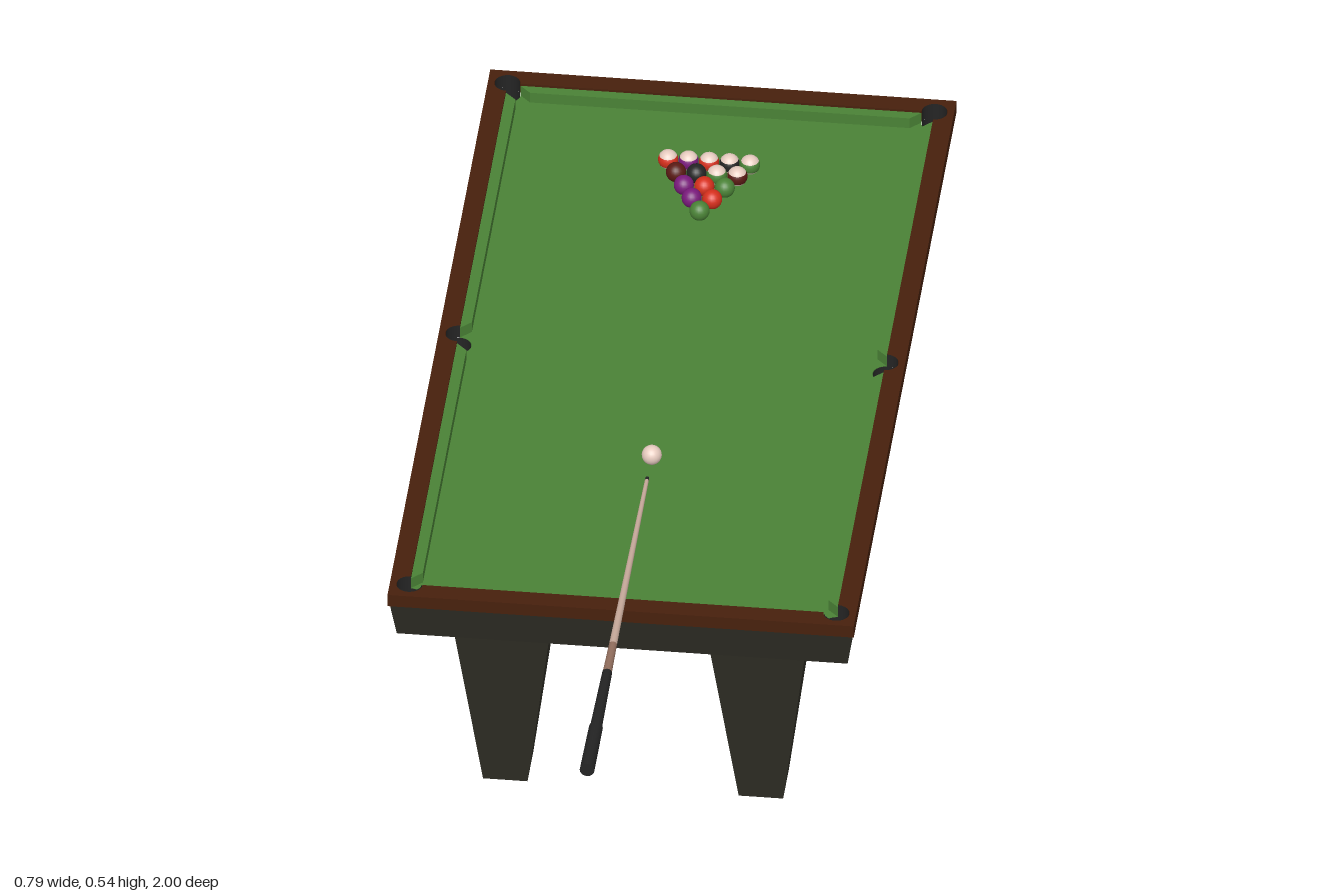
import * as THREE from 'three';

const mat = (name, color, side = THREE.FrontSide) => {
  const m = new THREE.MeshStandardMaterial({ color, side });
  m.name = name;
  return m;
};

export function createModel() {
  const M = {
    wood: mat('rail wood', 0x47200c),
    base: mat('dark base', 0x2f2e25),
    felt: mat('green felt', 0x4a8236),
    black: mat('black', 0x242424, THREE.DoubleSide),
    shaft: mat('cue maple', 0xc9ab9c),
    splice: mat('cue splice', 0x94705f),
    ivory: mat('ivory', 0xecd0c4),
    purple: mat('purple', 0x7a1a7c),
    red: mat('red', 0xd62f1c),
    maroon: mat('maroon', 0x5a1a14),
  };
  const model = new THREE.Group();
  model.name = 'billiardTable';
  const table = new THREE.Group();
  table.name = 'table';
  table.position.z = -0.2465;
  model.add(table);

  const add = (parent, name, geo, material, x = 0, y = 0, z = 0) => {
    const mesh = new THREE.Mesh(geo, material);
    mesh.name = name;
    mesh.position.set(x, y, z);
    parent.add(mesh);
    return mesh;
  };

  // Box whose lower end is narrower, standing on y = 0
  const frustum = (topW, topD, botW, botD, h) => {
    const g = new THREE.BoxGeometry(topW, h, topD);
    const p = g.attributes.position;
    for (let i = 0; i < p.count; i++) {
      if (p.getY(i) < 0) {
        p.setX(i, Math.sign(p.getX(i)) * botW / 2);
        p.setZ(i, Math.sign(p.getZ(i)) * botD / 2);
      }
    }
    g.translate(0, h / 2, 0);
    g.computeVertexNormals();
    return g;
  };

  // Horizontal slab hanging down from its outline in x and z
  const slab = (shape, depth) =>
    new THREE.ExtrudeGeometry(shape, { depth, bevelEnabled: false, curveSegments: 12 }).rotateX(Math.PI / 2);

  // Pockets: x, z and the arc that bites into the rail
  const X = 0.36, Z = 0.7185, R = 0.022, P = Math.PI;
  const pockets = [
    [X, 0, -P / 2, P / 2], [X, Z, -P / 2, P], [-X, Z, 0, 1.5 * P],
    [-X, 0, P / 2, 1.5 * P], [-X, -Z, P / 2, 2 * P], [X, -Z, P, 2.5 * P],
  ];
  const outline = (path, clockwise) => {
    pockets.forEach(([x, z, s, e]) => path.absarc(x, z, R, s, e, clockwise));
    path.closePath();
    return path;
  };

  // Rail frame and playing bed
  const W = 0.393, D = 0.7535;
  const frame = new THREE.Shape([[-W, -D], [W, -D], [W, D], [-W, D]].map(p => new THREE.Vector2(...p)));
  frame.holes.push(outline(new THREE.Path(), false));
  add(table, 'railFrame', slab(frame, 0.023), M.wood, 0, 0.5);
  add(table, 'playingBed', slab(outline(new THREE.Shape(), true), 0.01), M.felt, 0, 0.476);

  // Pocket liners: full well below the bed, part wall along the rail
  pockets.forEach(([x, z, s, e]) => {
    const pocket = new THREE.Group();
    pocket.name = 'pocket';
    pocket.position.set(x, 0, z);
    table.add(pocket);
    const r = R - 0.0008;
    add(pocket, 'pocketWell', new THREE.CylinderGeometry(r, r, 0.03, 20, 1, true), M.black, 0, 0.461);
    add(pocket, 'pocketFloor', new THREE.CircleGeometry(r, 20).rotateX(-P / 2), M.black, 0, 0.446);
    add(pocket, 'pocketLiner',
      new THREE.CylinderGeometry(r, r, 0.025, 16, 1, true, P / 2 - e, e - s), M.black, 0, 0.4885);
  });

  // Cushions: plan trapezoid with slanted ends, nose towards the field
  const cushion = (length, name, x, z, angle) => {
    const h = length / 2, w = 0.018;
    const s = new THREE.Shape([[-h, 0], [h, 0], [h - w, w], [w - h, w]].map(p => new THREE.Vector2(...p)));
    add(table, name, slab(s, 0.02), M.felt, x, 0.496, z).rotation.y = angle;
  };
  const sideLength = Z - 2 * R;
  for (const s of [-1, 1]) {
    cushion(2 * (X - R), 'endCushion', 0, s * Z, s > 0 ? P : 0);
    for (const t of [-1, 1]) cushion(sideLength, 'sideCushion', s * X, t * Z / 2, -s * P / 2);
  }

  // Apron, open at the top under the bed
  const apron = frustum(0.78, 1.496, 0.76, 1.46, 0.072);
  apron.setIndex([...apron.index.array].filter((v, i) => i < 12 || i >= 18));
  apron.clearGroups();
  add(table, 'apron', apron, M.base, 0, 0.405);

  // Four tapered legs
  for (const x of [-0.2155, 0.2155])
    for (const z of [-0.517, 0.528])
      add(table, 'leg', frustum(0.178, 0.215, 0.075, 0.085, 0.406), M.base, x, 0, z);

  // Balls: plain, or ivory with a coloured band
  const r = 0.017, ballY = 0.476 + r;
  const ball = (name, x, z, material, striped) => {
    const g = new THREE.Group();
    g.name = name;
    g.position.set(x, ballY, z);
    model.add(g);
    if (!striped) return add(g, 'ballBody', new THREE.SphereGeometry(r, 20, 14), material);
    const zone = (part, a, b, m) =>
      add(g, part, new THREE.SphereGeometry(r, 20, 6, 0, 2 * P, a * P, (b - a) * P), m);
    zone('ballTop', 0, 0.34, M.ivory);
    zone('ballBand', 0.34, 0.66, material);
    zone('ballBottom', 0.66, 1, M.ivory);
  };
  const rack = [
    [M.felt],
    [M.purple, M.red],
    [M.purple, M.red, M.felt],
    [M.maroon, M.black, [M.felt], [M.maroon]],
    [[M.red], [M.purple], [M.red], [M.black], [M.felt]],
  ];
  rack.forEach((row, i) => row.forEach((m, j) => {
    const striped = Array.isArray(m);
    ball('rackedBall', (j - i / 2) * 0.0345, -0.65 - i * 0.035, striped ? m[0] : m, striped);
  }));
  ball('cueBall', 0, 0.05, M.ivory, false);

  // Cue stick, built along +z from its tip and tilted up at the butt
  const cue = new THREE.Group();
  cue.name = 'cueStick';
  cue.position.set(0, 0.492, 0.115);
  cue.rotation.x = -0.0375;
  model.add(cue);
  [
    ['cueTip', 0, 0.008, 0.003, 0.0034, M.black],
    ['cueShaft', 0.008, 0.505, 0.0034, 0.0068, M.shaft],
    ['cueSplice', 0.505, 0.59, 0.0068, 0.0078, M.splice],
    ['cueButt', 0.59, 0.755, 0.0084, 0.0102, M.black],
    ['cueGrip', 0.755, 0.884, 0.0118, 0.0125, M.black],
  ].forEach(([name, a, b, ra, rb, m]) =>
    add(cue, name, new THREE.CylinderGeometry(rb, ra, b - a, 16).rotateX(P / 2), m, 0, 0, (a + b) / 2));

  return model;
}
